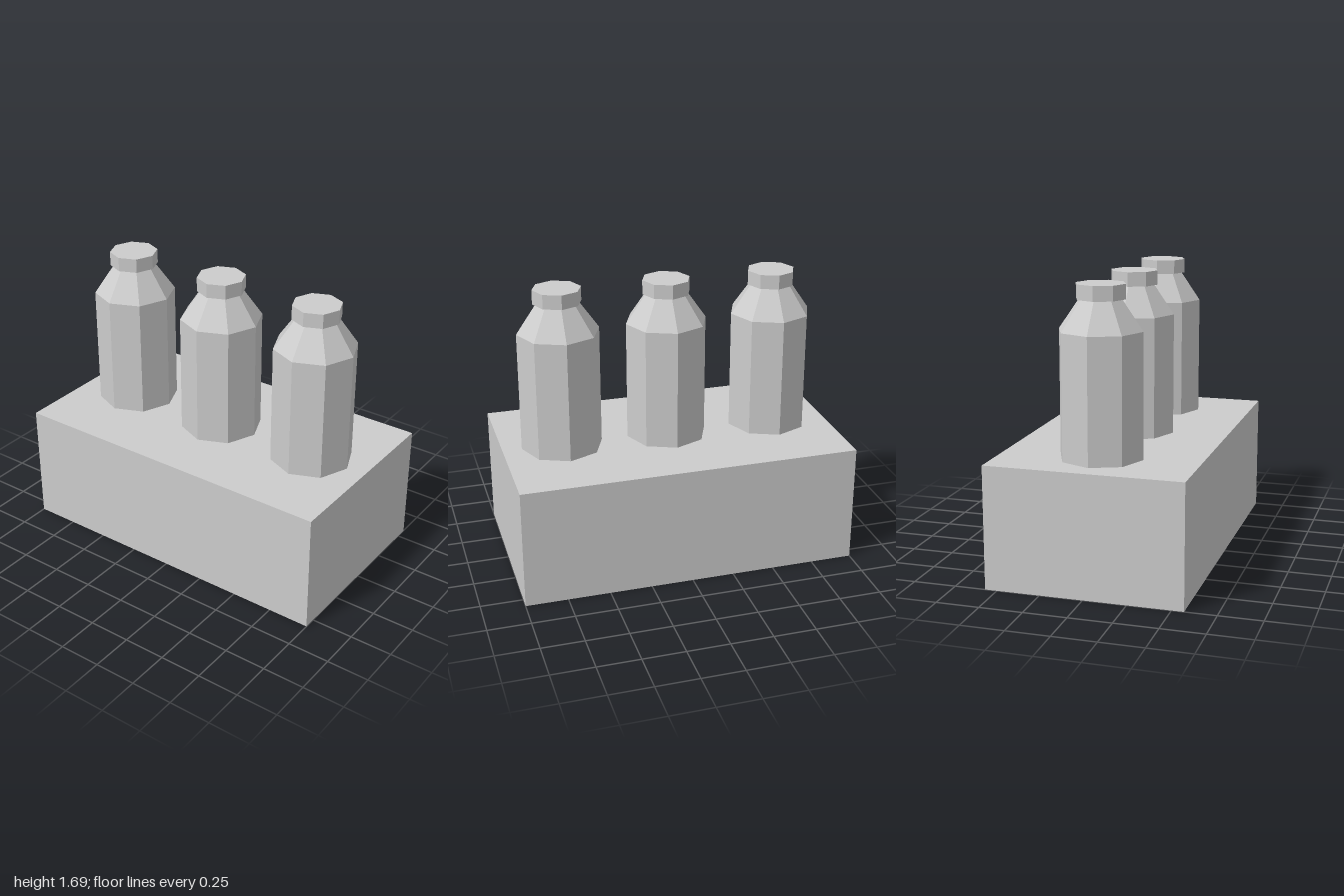
import * as THREE from 'three';

export function createModel() {
  const model = new THREE.Group();
  const grey = new THREE.MeshStandardMaterial({ color: 0xcccccc, flatShading: true });
  grey.name = 'light grey';

  const add = (parent, name, geometry, y) => {
    const mesh = new THREE.Mesh(geometry, grey);
    mesh.name = name;
    mesh.position.y = y;
    parent.add(mesh);
  };

  // Solid block the bottles stand on
  const baseTop = 0.715;
  add(model, 'base', new THREE.BoxGeometry(2, baseTop, 1.14), baseTop / 2);

  // Eight-sided section between two heights, a corner facing the front
  const section = (parent, name, rBottom, rTop, y0, y1, open) =>
    add(parent, name, new THREE.CylinderGeometry(rTop, rBottom, y1 - y0, 8, 1, open), (y0 + y1) / 2);

  // Row of three bottles
  ['rightBottle', 'middleBottle', 'leftBottle'].forEach((name, i) => {
    const bottle = new THREE.Group();
    bottle.name = name;
    bottle.position.x = (i - 1) * 0.643;
    section(bottle, 'body', 0.242, 0.242, baseTop, 1.43, true);
    section(bottle, 'shoulder', 0.242, 0.122, 1.43, 1.602, true);
    section(bottle, 'cap', 0.142, 0.142, 1.602, 1.686, false);
    model.add(bottle);
  });

  return model;
}
